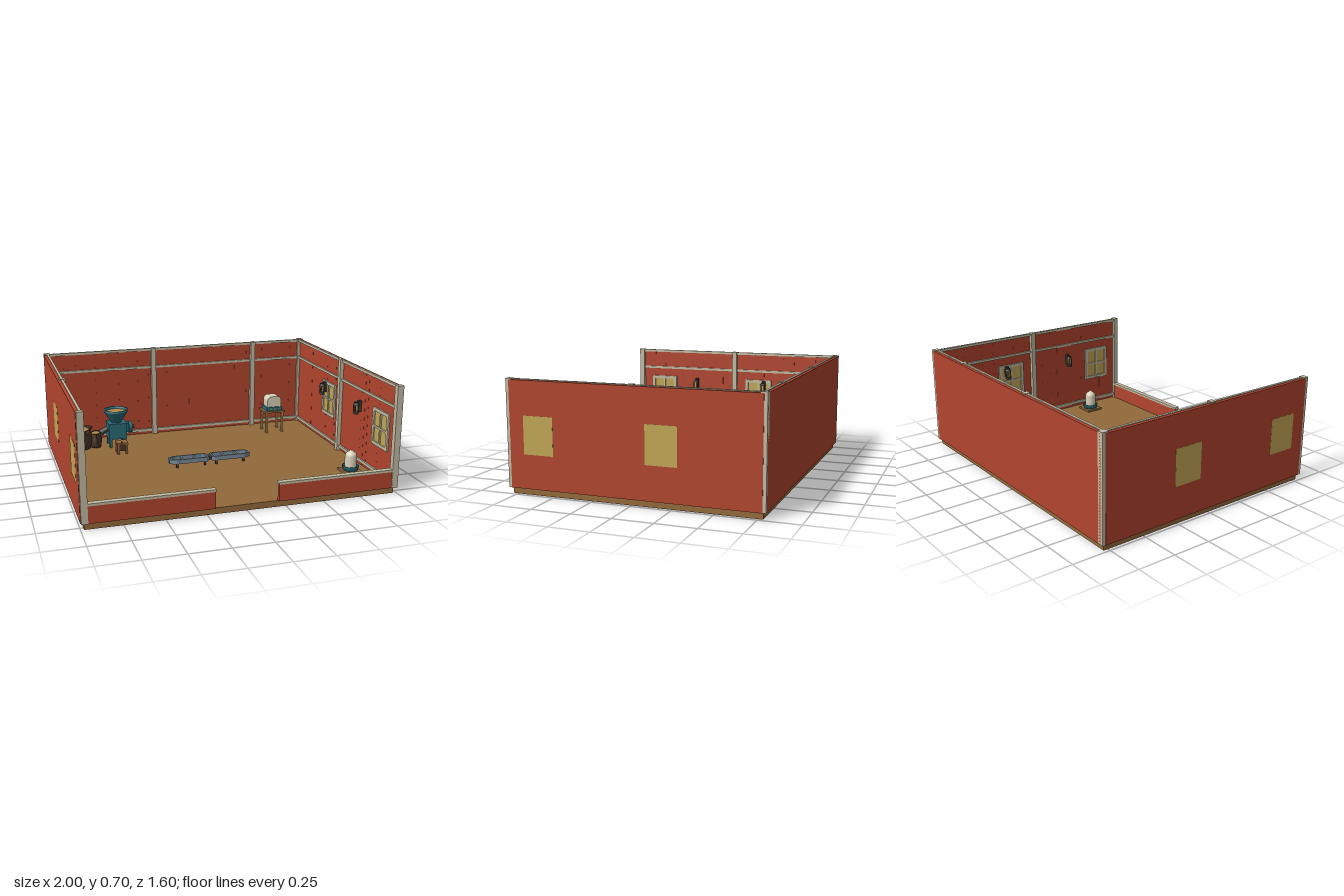
import * as THREE from 'three';

const mat = (name, color, side = THREE.FrontSide) => {
  const m = new THREE.MeshStandardMaterial({ color, side });
  m.name = name;
  return m;
};

export function createModel() {
  const red = mat('barn red', 0xb3452e), cream = mat('cream timber', 0xc2bba2);
  const wood = mat('floor wood', 0x936a3b), gold = mat('window gold', 0xc2a755);
  const teal = mat('teal metal', 0x2a6b76, THREE.DoubleSide), steel = mat('blue steel', 0x7a8c98);
  const sacking = mat('dark sacking', 0x4f382a, THREE.DoubleSide), iron = mat('dark iron', 0x3d3a37);
  const grain = mat('grain', 0xb08a50), white = mat('off white', 0xd8cfb8);

  const root = new THREE.Group();
  root.name = 'barnRoom';
  const group = (name, x = 0, y = 0, z = 0, parent = root) => {
    const g = new THREE.Group();
    g.name = name;
    g.position.set(x, y, z);
    parent.add(g);
    return g;
  };
  const add = (parent, name, geo, m, x = 0, y = 0, z = 0) => {
    const o = new THREE.Mesh(geo, m);
    o.name = name;
    o.position.set(x, y, z);
    parent.add(o);
    return o;
  };
  // Box given by its minimum and maximum corners
  const box = (parent, name, m, x0, x1, y0, y1, z0, z1) =>
    add(parent, name, new THREE.BoxGeometry(x1 - x0, y1 - y0, z1 - z0), m, (x0 + x1) / 2, (y0 + y1) / 2, (z0 + z1) / 2);
  const cyl = (parent, name, m, rt, rb, y0, y1, x = 0, z = 0, sides = 20, open = false) =>
    add(parent, name, new THREE.CylinderGeometry(rt, rb, y1 - y0, sides, 1, open), m, x, (y0 + y1) / 2, z);
  const lathe = (parent, name, m, pts, sides = 20) =>
    add(parent, name, new THREE.LatheGeometry(pts.map(p => new THREE.Vector2(...p)), sides), m);
  const legs = (parent, m, hx, hz, y0, y1, t) => {
    for (const sx of [-1, 1]) for (const sz of [-1, 1])
      box(parent, 'leg', m, sx * hx - t, sx * hx + t, y0, y1, sz * hz - t, sz * hz + t);
  };

  box(root, 'floor', wood, -0.98, 0.98, 0, 0.04, -0.78, 0.78);

  // Full-height wall: outer face at local z = 0, inside towards local +z
  let seed = 7;
  const rnd = () => (seed = (seed * 16807) % 2147483647) / 2147483647;
  const wall = (name, half, posts, windows) => {
    const w = group(name);
    box(w, 'wallPanel', red, -half, half, 0.04, 0.695, 0, 0.021);
    for (let x = -half + 0.02; x < half - 0.02;) {
      const x1 = Math.min(x + 0.04 + rnd() * 0.06, half - 0.02);
      box(w, 'plank', red, x, x1, 0.04, 0.69, 0.018, 0.023 + rnd() * 0.003);
      x = x1;
    }
    for (const [y0, y1] of [[0.06, 0.08], [0.55, 0.567], [0.682, 0.7]])
      box(w, 'rail', cream, -half + 0.01, half - 0.01, y0, y1, 0.02, 0.036);
    for (const x of posts) box(w, 'post', cream, x - 0.0175, x + 0.0175, 0.04, 0.702, 0.012, 0.05);
    for (const x of windows) {
      const f = group('window', x, 0.3675, 0, w);
      box(f, 'outerPane', gold, -0.0975, 0.0975, -0.1175, 0.1175, -0.001, 0.003);
      box(f, 'innerPane', gold, -0.0975, 0.0975, -0.1175, 0.1175, 0.02, 0.028);
      for (const s of [-1, 0, 1]) {
        const t = s ? 0.011 : 0.006;
        box(f, 'frameUpright', cream, s * 0.0925 - t, s * 0.0925 + t, -0.123, 0.123, 0.022, 0.037);
        box(f, 'frameBar', cream, -0.1, 0.1, s * 0.1125 - t, s * 0.1125 + t, 0.022, 0.036);
      }
    }
    return w;
  };
  wall('backWall', 0.98, [-0.2, 0.583], []).position.z = -0.8;
  const left = wall('leftWall', 0.78, [0], [-0.59, 0.19]);
  left.rotation.y = -Math.PI / 2;
  left.position.x = 1;
  const right = wall('rightWall', 0.78, [0], [0.19, -0.59]);
  right.rotation.y = Math.PI / 2;
  right.position.x = -1;
  // Swap left-wall windows into model z: local x runs along +z there
  left.children.filter(c => c.name === 'window').forEach(c => { c.position.x *= -1; });
  right.children.filter(c => c.name === 'window').forEach(c => { c.position.x = c.position.x; });

  for (const s of [-1, 1]) {
    const at = (name, m, a, b, ...r) => box(root, name, m, Math.min(s * a, s * b), Math.max(s * a, s * b), ...r);
    at('frontCornerPost', cream, 0.957, 0.998, 0.04, 0.702, 0.763, 0.8);
    at('backCornerPost', cream, 0.957, 0.998, 0.04, 0.702, -0.8, -0.758);
    at('frontLowWall', red, 0.2, 0.96, 0.04, 0.15, 0.77, 0.795);
    at('frontWallCap', cream, 0.197, 0.96, 0.148, 0.163, 0.762, 0.8);

    // Wall lanterns
    for (const z of [-0.235, 0.31]) {
      const l = group('wallLantern', s * 0.935, 0.44, z);
      box(l, 'bracket', iron, s > 0 ? 0.012 : -0.034, s > 0 ? 0.034 : -0.012, -0.03, 0.045, -0.012, 0.012);
      box(l, 'arm', iron, -0.014, 0.014, 0.03, 0.038, -0.006, 0.006);
      cyl(l, 'lanternCap', iron, 0.01, 0.024, 0.018, 0.032, 0, 0, 8);
      cyl(l, 'lanternGlass', gold, 0.014, 0.012, -0.025, 0.018, 0, 0, 8);
      for (let i = 0; i < 4; i++) {
        const a = i * Math.PI / 2 + Math.PI / 4;
        cyl(l, 'cageBar', iron, 0.004, 0.004, -0.03, 0.02, 0.017 * Math.cos(a), 0.017 * Math.sin(a), 6);
      }
      cyl(l, 'lanternBase', iron, 0.02, 0.02, -0.045, -0.025, 0, 0, 8);
    }
  }

  // Low rail on cream posts beside the right wall
  const rack = group('lowRail', -0.9, 0, 0.08);
  box(rack, 'railBar', sacking, -0.012, 0.012, 0.148, 0.17, -0.195, 0.195);
  for (const z of [-0.16, 0.16]) box(rack, 'railPost', cream, -0.011, 0.011, 0.04, 0.148, z - 0.013, z + 0.013);

  // Grain mill
  const mill = group('grainMill', -0.53, 0, -0.57);
  legs(mill, teal, 0.052, 0.05, 0.04, 0.11, 0.009);
  box(mill, 'millBody', teal, -0.065, 0.065, 0.1, 0.215, -0.062, 0.062);
  lathe(mill, 'hopper', teal, [[0.035, 0.21], [0.04, 0.225], [0.085, 0.295], [0.087, 0.31], [0.073, 0.31], [0.07, 0.292]]);
  cyl(mill, 'hopperGrain', grain, 0.071, 0.06, 0.27, 0.294);
  cyl(mill, 'flywheel', teal, 0.042, 0.042, -0.012, 0.012).rotation.z = Math.PI / 2;
  mill.children.at(-1).position.set(0.1, 0.17, 0);
  cyl(mill, 'axle', iron, 0.014, 0.014, 0, 0.08).rotation.z = Math.PI / 2;
  mill.children.at(-1).position.set(0.09, 0.17, 0);
  box(mill, 'motorHousing', teal, 0.06, 0.085, 0.14, 0.205, -0.035, 0.035);
  const spout = cyl(mill, 'spout', iron, 0.02, 0.024, -0.03, 0.03, 0, 0, 8);
  spout.position.set(-0.09, 0.155, 0);
  spout.rotation.z = -1.1;

  // Open sacks of grain with a pinched rim
  for (const [x, r, h] of [[-0.782, 0.07, 0.145], [-0.683, 0.042, 0.11]]) {
    const s = group('grainSack', x, 0.04, -0.57);
    const skin = lathe(s, 'sackCloth', sacking, [[0, 0], [r * 0.85, 0], [r * 1.02, h * 0.3], [r, h * 0.6], [r * 0.82, h * 0.85], [r * 1.05, h], [r * 0.8, h * 0.93]], 16);
    const p = skin.geometry.attributes.position;
    for (let i = 0; i < p.count; i++) {
      const a = Math.atan2(p.getZ(i), p.getX(i)), k = 1 + 0.11 * Math.cos(4 * a) * (p.getY(i) / h);
      p.setXYZ(i, p.getX(i) * k, p.getY(i) + 0.12 * p.getX(i) * p.getY(i) / h, p.getZ(i) * k);
    }
    skin.geometry.computeVertexNormals();
    cyl(s, 'sackGrain', grain, r * 0.82, r * 0.75, h * 0.8, h * 0.94, 0, 0, 16);
  }

  // Small wooden crate in front of the mill
  const crate = group('crate', -0.53, 0, -0.385);
  box(crate, 'crateTop', wood, -0.04, 0.04, 0.108, 0.122, -0.04, 0.04);
  box(crate, 'crateBody', sacking, -0.028, 0.028, 0.06, 0.108, -0.028, 0.028);
  legs(crate, wood, 0.03, 0.03, 0.04, 0.108, 0.008);
  box(crate, 'peg', iron, -0.006, 0.004, 0.122, 0.127, 0.02, 0.028);

  // Side table carrying a domed machine
  const table = group('machineTable', 0.682, 0, -0.578);
  box(table, 'tableTop', wood, -0.08, 0.08, 0.195, 0.209, -0.066, 0.066);
  legs(table, grain, 0.062, 0.052, 0.04, 0.195, 0.008);
  box(table, 'machineBase', teal, -0.062, 0.062, 0.209, 0.238, -0.053, 0.053);
  for (const x of [-0.03, 0, 0.03]) box(table, 'knob', gold, x - 0.005, x + 0.005, 0.22, 0.23, 0.053, 0.058);
  const arch = new THREE.Shape();
  arch.moveTo(-0.055, 0.238);
  arch.lineTo(0.055, 0.238);
  arch.lineTo(0.055, 0.285);
  arch.quadraticCurveTo(0.052, 0.318, 0.02, 0.318);
  arch.lineTo(-0.02, 0.318);
  arch.quadraticCurveTo(-0.052, 0.318, -0.055, 0.285);
  add(table, 'domedHousing', new THREE.ExtrudeGeometry(arch, { depth: 0.09, bevelEnabled: false }), white, 0, 0, -0.045);

  // Drinking fount on a board
  const fount = group('drinkingFount', 0.845, 0, 0.445);
  box(fount, 'fountBoard', wood, -0.062, 0.062, 0.04, 0.055, -0.062, 0.062);
  lathe(fount, 'fountTray', teal, [[0, 0.055], [0.05, 0.055], [0.056, 0.085], [0.05, 0.085], [0.046, 0.07]], 24);
  lathe(fount, 'fountTank', white, [[0.04, 0.06], [0.04, 0.15], [0.034, 0.17], [0.018, 0.182], [0.012, 0.184], [0.01, 0.192], [0, 0.192]], 24);

  // Two linked feeding troughs of open ladder form
  const outline = (k) => [[0.012, -0.035], [0.03, -0.045], [0.24, -0.045], [0.284, -0.024], [0.284, 0.024], [0.24, 0.045], [0.03, 0.045], [0.012, 0.035]]
    .map(([x, z]) => new THREE.Vector2(0.145 + (x - 0.145) * (1 - k / 0.135), z * (1 - k / 0.045)));
  for (const s of [-1, 1]) {
    const t = group('ladderTrough', 0, 0, 0);
    t.rotation.y = s < 0 ? Math.PI : 0;
    const ring = new THREE.Shape(outline(0));
    ring.holes.push(new THREE.Path(outline(0.01)));
    const rim = add(t, 'troughRim', new THREE.ExtrudeGeometry(ring, { depth: 0.03, bevelEnabled: false }), steel, 0, 0.096, 0);
    rim.rotation.x = Math.PI / 2;
    for (const x of [0.1, 0.19]) box(t, 'rung', steel, x - 0.005, x + 0.005, 0.08, 0.094, -0.04, 0.04);
    for (const x of [0.04, 0.235]) for (const z of [-0.036, 0.036])
      box(t, 'foot', iron, x - 0.006, x + 0.006, 0.04, 0.068, z - 0.006, z + 0.006);
  }
  box(root, 'troughCoupling', iron, -0.014, 0.014, 0.07, 0.09, -0.03, 0.03);
  return root;
}
